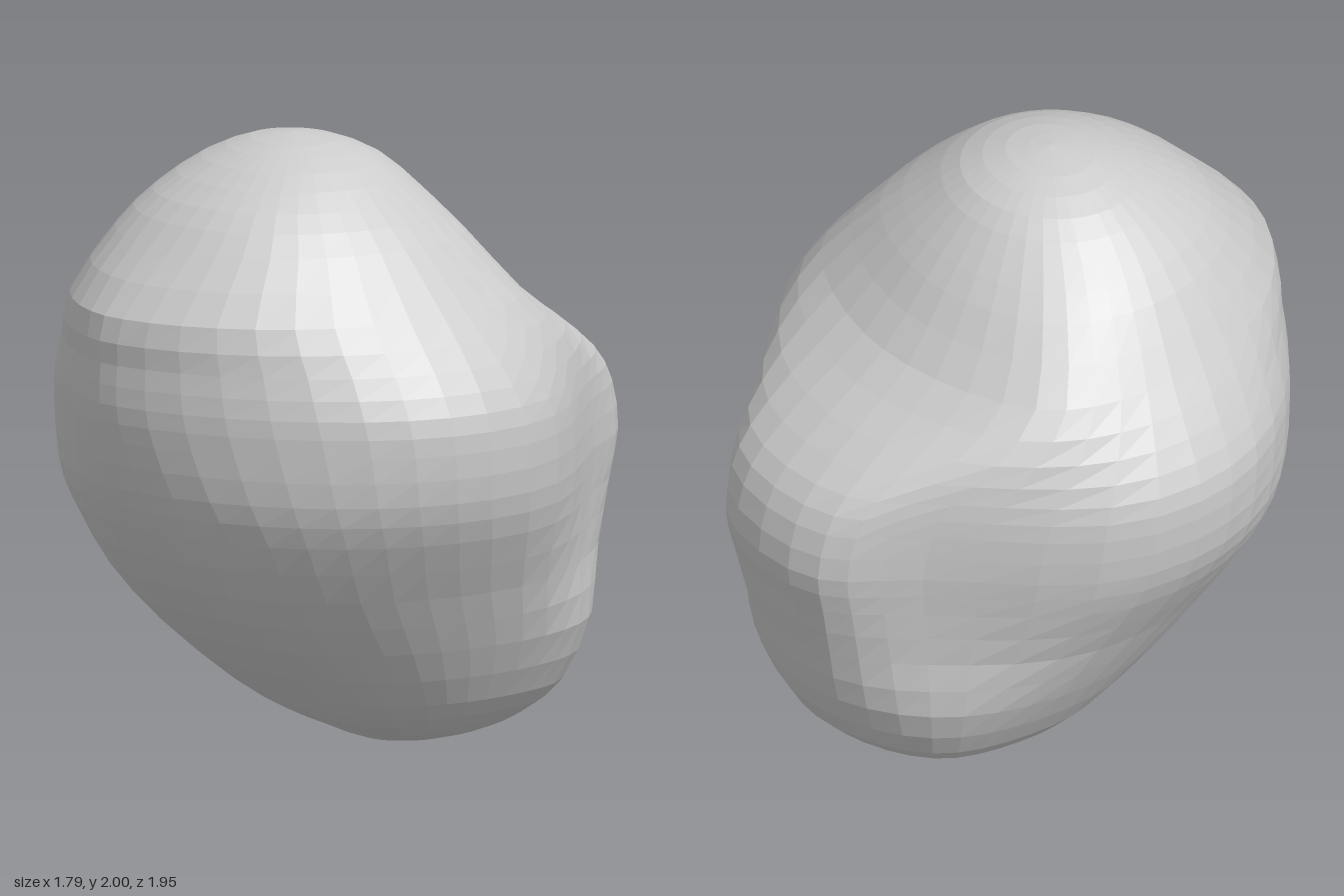
import * as THREE from 'three';

// Horizontal sections, bottom to top:
// height, half width, front z, back z, z of widest point, rear waist, front taper
const sections = [
  [0.00, 0.00, -0.20, -0.20, -0.20, 0.00, 0.90],
  [0.01, 0.13, -0.09, -0.34, -0.20, -0.05, 0.80],
  [0.04, 0.27, -0.02, -0.49, -0.21, -0.08, 0.70],
  [0.10, 0.39, 0.11, -0.62, -0.20, -0.10, 0.68],
  [0.20, 0.50, 0.27, -0.74, -0.18, -0.10, 0.68],
  [0.40, 0.62, 0.52, -0.84, -0.13, -0.03, 0.70],
  [0.60, 0.72, 0.71, -0.89, -0.03, 0.14, 0.78],
  [0.80, 0.83, 0.84, -0.94, 0.05, 0.26, 0.94],
  [0.94, 0.88, 0.91, -0.97, 0.09, 0.30, 1.10],
  [1.10, 0.895, 0.955, -0.94, 0.10, 0.29, 1.27],
  [1.22, 0.88, 0.975, -0.86, 0.11, 0.22, 1.34],
  [1.35, 0.81, 0.97, -0.69, 0.12, 0.04, 1.30],
  [1.50, 0.70, 0.955, -0.47, 0.14, -0.12, 1.16],
  [1.70, 0.55, 0.77, -0.30, 0.18, -0.08, 0.97],
  [1.82, 0.43, 0.64, -0.19, 0.20, -0.03, 0.92],
  [1.92, 0.30, 0.48, -0.08, 0.20, 0.00, 0.95],
  [1.98, 0.15, 0.33, 0.06, 0.20, 0.00, 1.00],
  [2.00, 0.00, 0.20, 0.20, 0.20, 0.00, 1.00],
];

const spline = (i) => new THREE.CatmullRomCurve3(
  sections.map((s) => new THREE.Vector3(s[i], s[i + 1], s[i + 2])), false, 'catmullrom');

// Rounded body with a narrower lobe swelling out of the lower back
function bodyGeometry(rings = 34, sides = 40) {
  // Sample all curves at the same section numbers so the rings agree
  const sample = (i) => spline(i).getPoints(rings);
  const rows = sample(0), backs = sample(3), forms = sample(4);
  const positions = [], index = [];
  rows.forEach((row, r) => {
    const { x: y, y: width, z: front } = row;
    const { x: middle, y: waist, z: taper } = forms[r];
    const back = backs[r].x;
    for (let i = 0; i < sides; i++) {
      const a = (i / sides) * Math.PI * 2;
      const s = Math.sin(a), c = Math.cos(a);
      let x = Math.abs(s);
      if (c > 0) x = Math.pow(x, taper);
      else x *= 1 - waist * 5.38 * Math.abs(c) ** 3 * s ** 2;
      const z = middle + c * (c > 0 ? front - middle : middle - back);
      positions.push(Math.sign(s) * x * Math.max(width, 0), y, z);
    }
  });
  for (let r = 0; r < rings; r++) {
    for (let i = 0; i < sides; i++) {
      const a = r * sides + i, b = r * sides + ((i + 1) % sides);
      const c = a + sides, d = b + sides;
      if (r > 0) index.push(a, b, d);
      if (r < rings - 1) index.push(a, d, c);
    }
  }
  const geometry = new THREE.BufferGeometry();
  geometry.setAttribute('position', new THREE.Float32BufferAttribute(positions, 3));
  geometry.setIndex(index);
  geometry.computeVertexNormals();
  return geometry;
}

export function createModel() {
  const group = new THREE.Group();
  const material = new THREE.MeshStandardMaterial({ color: 0xcccccc, flatShading: true });
  const body = new THREE.Mesh(bodyGeometry(), material);
  body.name = 'lobedBody';
  group.add(body);
  return group;
}
